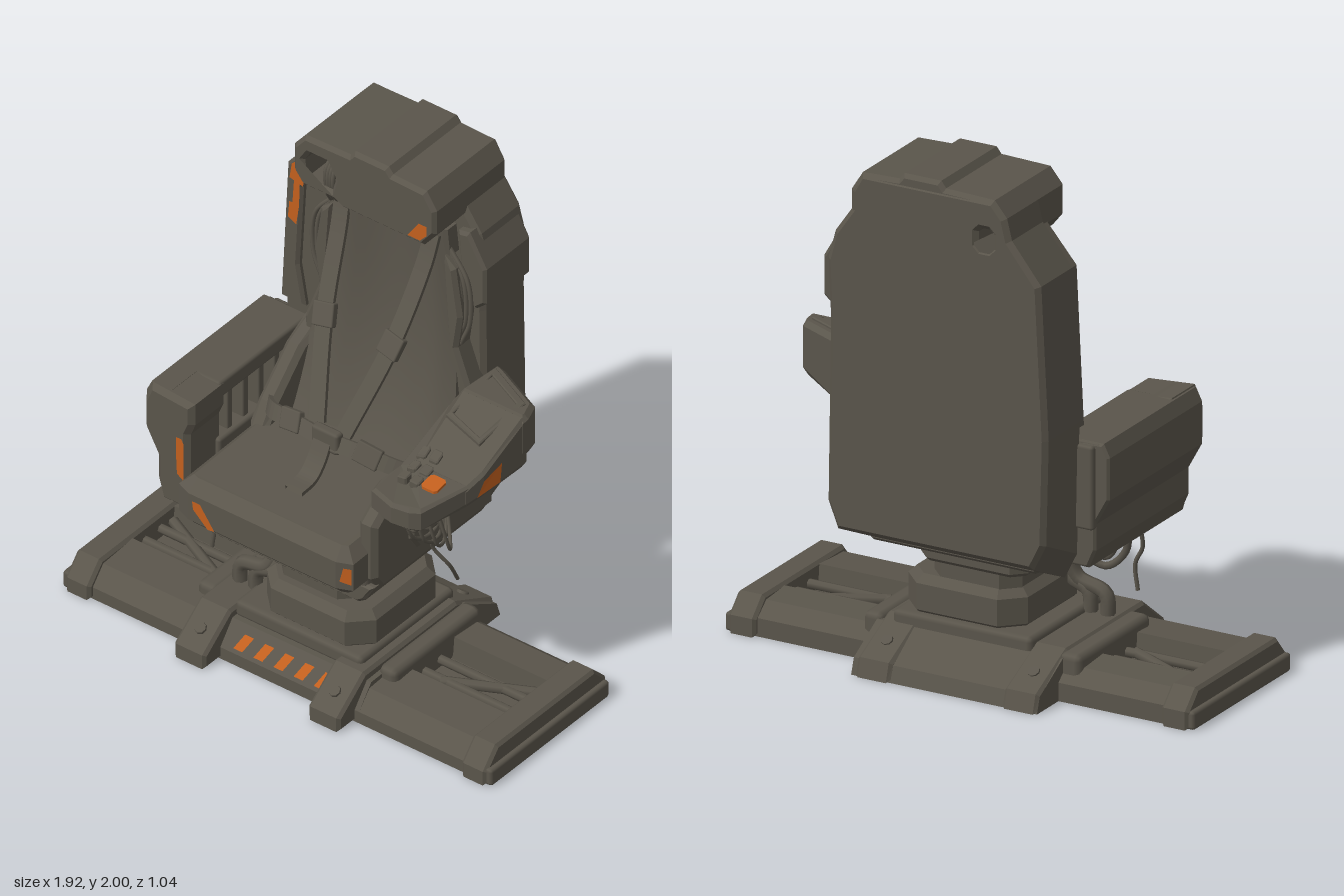
import * as THREE from 'three';
import { RoundedBoxGeometry } from 'three/addons/geometries/RoundedBoxGeometry.js';

const grey = new THREE.MeshStandardMaterial({ color: 0x5a554b, side: THREE.DoubleSide });
grey.name = 'worn grey';
const orange = new THREE.MeshStandardMaterial({ color: 0xc4601e, side: THREE.DoubleSide });
orange.name = 'hazard orange';

export function createModel() {
  const model = new THREE.Group();
  model.name = 'cockpitSeat';

  const add = (name, geo, mat = grey) => {
    const m = new THREE.Mesh(geo, mat);
    m.name = name;
    model.add(m);
    return m;
  };
  const toShape = (pts) => new THREE.Shape(pts.map((p) => new THREE.Vector2(...p)));

  // Bevelled prism along z, from z0 to z1
  const prismZ = (pts, z0, z1, b = 0.012, hole) => {
    const s = toShape(pts);
    if (hole) s.holes.push(toShape(hole));
    const g = new THREE.ExtrudeGeometry(s, {
      depth: z1 - z0 - 2 * b, bevelEnabled: b > 0, bevelThickness: b, bevelSize: b, bevelOffset: -b, bevelSegments: 1,
    });
    return g.translate(0, 0, z0 + b);
  };
  // Outline given as [z, y], extruded along x
  const prismX = (pts, x0, x1, b) => prismZ(pts, 0, x1 - x0, b).rotateY(-Math.PI / 2).translate(x1, 0, 0);
  // Outline given as [x, z], extruded along y
  const prismY = (pts, y0, y1, b, hole) => prismZ(pts, 0, y1 - y0, b, hole).rotateX(Math.PI / 2).translate(0, y1, 0);
  const box = (name, x0, x1, y0, y1, z0, z1, r = 0.012) =>
    add(name, new RoundedBoxGeometry(x1 - x0, y1 - y0, z1 - z0, 1, r)
      .translate((x0 + x1) / 2, (y0 + y1) / 2, (z0 + z1) / 2));
  // Rectangle with cut corners
  const cut = (a0, a1, b0, b1, c) => [[a0 + c, b0], [a1 - c, b0], [a1, b0 + c], [a1, b1 - c],
    [a1 - c, b1], [a0 + c, b1], [a0, b1 - c], [a0, b0 + c]];
  const warp = (g, rule) => {
    const p = g.attributes.position, v = new THREE.Vector3();
    for (let i = 0; i < p.count; i++) {
      v.fromBufferAttribute(p, i);
      rule(v);
      p.setXYZ(i, v.x, v.y, v.z);
    }
    g.computeVertexNormals();
    return g;
  };
  const faces = (verts, index) => {
    const g = new THREE.BufferGeometry();
    g.setAttribute('position', new THREE.Float32BufferAttribute(verts.flat(), 3));
    g.setIndex(index);
    const flat = g.toNonIndexed();
    flat.computeVertexNormals();
    return flat;
  };
  // Painted flat patch, corners counter-clockwise
  const patch = (name, pts) => add(name, faces(pts, pts.slice(2).flatMap((_, i) => [0, i + 1, i + 2])), orange);
  const patchZ = (name, z, pts) => patch(name, pts.map(([x, y]) => [x, y, z]));
  const curve = (pts) => new THREE.CatmullRomCurve3(pts.map((p) => new THREE.Vector3(...p)));
  const cable = (name, pts, r) => add(name, new THREE.TubeGeometry(curve(pts), 24, r, 7));
  // Webbing with a rectangular section that follows a curve
  const strap = (name, pts, width) => {
    const c = curve(pts), verts = [], idx = [], n = 16;
    for (let i = 0; i <= n; i++) {
      const p = c.getPoint(i / n), t = c.getTangent(i / n);
      const side = t.clone().cross(new THREE.Vector3(0, 0.5, 1)).normalize();
      const up = side.clone().cross(t);
      for (const [a, b] of [[-1, -1], [1, -1], [1, 1], [-1, 1]]) {
        verts.push(p.clone().addScaledVector(side, a * width / 2).addScaledVector(up, b * 0.008).toArray());
      }
      for (let k = 0; i < n && k < 4; k++) {
        const q = 4 * i + k, r = 4 * i + (k + 1) % 4;
        idx.push(q, r, q + 4, r, r + 4, q + 4);
      }
    }
    add(name, faces(verts, idx));
  };

  // Base: centre plate, side rails, brackets and end caps
  add('basePlate', prismX([[0.43, 0], [0.43, 0.05], [0.36, 0.14], [-0.2, 0.15], [-0.36, 0.06], [-0.38, 0]], -0.4, 0.36, 0));
  for (let i = 0; i < 5; i++) {
    const x = -0.208 + i * 0.09;
    patch('hazardStripe', [[x, 0.065, 0.423], [x + 0.04, 0.065, 0.423], [x + 0.064, 0.114, 0.385], [x + 0.024, 0.114, 0.385]]);
  }
  const bracketSide = [[0.52, 0], [0.52, 0.06], [0.37, 0.175], [-0.16, 0.175], [-0.37, 0.07], [-0.39, 0]];
  for (const x of [-0.4, 0.2]) {
    add('baseBracket', prismX(bracketSide, x, x + 0.14));
    for (const z of [0.45, -0.28]) {
      const bolt = add('bracketBolt', new THREE.CylinderGeometry(0.022, 0.025, 0.02, 8));
      bolt.position.set(x + 0.07, 0.112, z);
      bolt.rotation.x = Math.sign(z) * 0.6;
    }
  }
  for (const s of [-1, 1]) {
    const lo = s < 0 ? -0.85 : 0.34, hi = s < 0 ? -0.38 : 0.85;
    box('railFloor', lo, hi, 0, 0.04, -0.22, 0.42, 0.004);
    add('frontRail', prismX([[0.43, 0], [0.43, 0.05], [0.37, 0.12], [0.2, 0.13], [0.19, 0.03]], lo, hi, 0));
    add('backRail', prismX([[-0.23, 0], [-0.23, 0.07], [-0.17, 0.12], [-0.04, 0.13], [-0.03, 0.03]], lo, hi, 0));
    for (const z of [0.04, 0.13]) cable('railRod', [[lo, 0.08, z], [hi, 0.08, z]], 0.018);
    cable('railBrace', [[s * 0.82, 0.08, -0.02], [s * 0.5, 0.08, 0.14]], 0.02);
    add('railEndCap', prismX([[0.45, 0], [0.45, 0.06], [0.38, 0.14], [-0.18, 0.14], [-0.25, 0.07], [-0.25, 0]],
      s < 0 ? -0.94 : 0.83, s < 0 ? -0.83 : 0.94));
    box('endBumper', s < 0 ? -0.96 : 0.9, s < 0 ? -0.9 : 0.96, 0, 0.07, -0.24, 0.44);
    box('railBlock', s < 0 ? -0.47 : 0.34, s < 0 ? -0.38 : 0.42, 0.03, 0.17, -0.2, 0.3, 0.025);
  }

  // Pedestal and swivel
  box('pedestalFoot', -0.27, 0.3, 0.13, 0.2, -0.2, 0.34, 0.02);
  add('pedestal', prismY(cut(-0.2, 0.29, -0.18, 0.32, 0.08), 0.18, 0.34, 0.03));
  add('swivelNeck', prismY(cut(-0.17, 0.19, -0.15, 0.26, 0.06), 0.3, 0.43, 0.01));
  add('swivelCollar', prismY(cut(-0.22, 0.22, -0.18, 0.28, 0.05), 0.4, 0.5, 0.015));
  box('collarLatch', -0.06, 0.06, 0.41, 0.46, 0.26, 0.3);

  // Seat pan and cushion
  add('seatSkirt', prismZ([[-0.4, 0.58], [-0.38, 0.51], [-0.34, 0.49], [0.32, 0.49], [0.35, 0.51], [0.39, 0.58]], -0.3, 0.39));
  add('skirtKeel', prismZ([[-0.34, 0.5], [-0.28, 0.46], [0.28, 0.46], [0.32, 0.5]], -0.16, 0.3));
  box('seatPan', -0.43, 0.36, 0.56, 0.72, -0.3, 0.39, 0.02);
  add('seatCushion', warp(prismY([[-0.41, -0.2], [-0.41, 0.475], [-0.35, 0.5], [0.31, 0.5], [0.37, 0.475], [0.37, -0.2]],
    0.57, 0.79, 0.045), (v) => { if (v.y > 0.7 && v.z > 0.35) v.y -= 0.015; }));
  patchZ('cushionMarkLeft', 0.503, [[-0.26, 0.61], [-0.23, 0.615], [-0.295, 0.705], [-0.33, 0.705], [-0.325, 0.67]]);
  patch('cushionMarkRight', [[0.325, 0.65, 0.498], [0.366, 0.64, 0.481], [0.366, 0.71, 0.481], [0.338, 0.71, 0.493]]);
  add('seatSide', prismX([[0.39, 0.62], [0.35, 0.56], [-0.3, 0.56], [-0.3, 0.96], [0.3, 0.92], [0.39, 0.85]], 0.32, 0.4, 0.02));
  add('seatSidePanel', prismX([[0.2, 0.7], [0.16, 0.64], [-0.22, 0.64], [-0.24, 0.88], [0.2, 0.88]], 0.39, 0.42));

  // Back shell with the lower rear edge cut away
  const portHole = cut(-0.295, -0.235, 1.78, 1.855, 0.015);
  add('backShell', warp(prismZ([[-0.46, 0.5], [-0.51, 0.6], [-0.52, 1.1], [-0.49, 1.68], [-0.37, 1.83], [-0.35, 1.91], [-0.3, 1.97],
    [0.24, 1.97], [0.28, 1.9], [0.28, 1.83], [0.35, 1.73], [0.38, 1.62], [0.37, 1.4], [0.38, 0.6], [0.34, 0.5]],
  -0.52, -0.27, 0.018, portHole), (v) => { if (v.z < -0.45 && v.y < 0.65) v.y += 0.1; }));
  // Head block with a broken-open corner
  add('headBlock', prismZ([[-0.35, 1.8], [-0.35, 1.91], [-0.3, 1.97], [-0.1, 1.975], [-0.08, 2], [0.07, 2], [0.09, 1.975],
    [0.24, 1.97], [0.285, 1.9], [0.285, 1.8], [0.23, 1.73], [-0.13, 1.73], [-0.17, 1.75], [-0.31, 1.75]],
  -0.515, -0.1, 0.015, [[-0.295, 1.785], [-0.18, 1.785], [-0.165, 1.84], [-0.2, 1.9], [-0.28, 1.9], [-0.305, 1.86]]));
  patchZ('headMark', -0.098, [[0.165, 1.752], [0.22, 1.752], [0.25, 1.785], [0.25, 1.825], [0.215, 1.825]]);
  add('shoulderPod', prismZ([[0.28, 1.74], [0.33, 1.75], [0.405, 1.62], [0.405, 1.47], [0.36, 1.43], [0.3, 1.46]], -0.5, -0.235));
  add('shoulderFrame', prismZ([[-0.52, 1.08], [-0.49, 1.68], [-0.37, 1.82], [-0.33, 1.76], [-0.42, 1.6], [-0.44, 1.25], [-0.41, 1.08]], -0.3, -0.245));
  patchZ('shoulderMarkUpper', -0.243, [[-0.475, 1.625], [-0.415, 1.61], [-0.405, 1.67], [-0.355, 1.755], [-0.385, 1.765], [-0.465, 1.69]]);
  patchZ('shoulderMarkMiddle', -0.243, [[-0.462, 1.52], [-0.432, 1.52], [-0.43, 1.62], [-0.455, 1.62]]);
  patchZ('shoulderMarkLower', -0.243, [[-0.482, 1.45], [-0.445, 1.43], [-0.432, 1.52], [-0.476, 1.52]]);

  // Padded backrest: widens and comes forward towards the seat
  add('backCushion', warp(new THREE.BoxGeometry(2, 1, 1, 16, 14, 1), (v) => {
    const t = v.y + 0.5, u = v.x, front = v.z > 0;
    v.x *= 0.36 - 0.11 * t;
    v.y = 0.74 + 1.0 * t;
    v.z = front ? -0.22 + 0.16 * (1 - t) ** 3 + 0.035 * Math.sin(Math.PI * Math.min(1, u * u)) : -0.3;
  }));
  for (const s of [-1, 1]) {
    add('backBolster', prismZ([[s * 0.25, 1.64], [s * 0.3, 1.6], [s * 0.33, 1.4], [s * 0.31, 1.26], [s * 0.37, 1.1], [s * 0.38, 0.8],
      [s * 0.32, 0.8], [s * 0.27, 1.25]], -0.3, -0.19, 0.015));
    add('lumbarWing', prismX([[-0.28, 0.74], [-0.28, 1.1], [-0.12, 1.02], [0.04, 0.86], [0.1, 0.76]], s < 0 ? -0.4 : 0.3, s < 0 ? -0.32 : 0.37, 0.02));
    for (let i = 0; i < 3; i++) {
      const x = 0.3 + i * 0.02;
      cable('backCable', [[s * 0.25, 1.66, -0.23], [s * x, 1.55, -0.22], [s * (x + 0.01), 1.38, -0.22], [s * (x - 0.03), 1.27, -0.22]], 0.009);
    }
  }
  for (let i = 0; i < 4; i++) {
    const d = i * 0.012;
    cable('headCable', [[-0.17 - d, 1.92, -0.16], [-0.18 - d, 1.85, -0.12], [-0.185 - d, 1.76, -0.13], [-0.2 - 2 * d, 1.64, -0.22]], 0.009);
  }

  // Harness
  for (const s of [-1, 1]) {
    strap('shoulderStrap', [[s * 0.2, 1.72, -0.2], [s * 0.19, 1.6, -0.165], [s * 0.15, 1.3, -0.03], [s * 0.06, 0.96, 0.13]], 0.065);
    const buckle = box('strapAdjuster', -0.045, 0.045, -0.045, 0.045, -0.016, 0.016, 0.006);
    buckle.position.set(s * 0.15, 1.3, -0.028);
    buckle.rotation.set(-0.43, 0, -s * 0.2);
    strap('lapBelt', [[s * 0.38, 0.83, 0], [s * 0.28, 0.89, 0.1], [s * 0.14, 0.92, 0.14], [0, 0.92, 0.155]], 0.06);
    const tab = box('lapBeltTab', -0.05, 0.05, -0.04, 0.04, -0.014, 0.014, 0.006);
    tab.position.set(s * 0.17, 0.92, 0.135);
    tab.rotation.set(-0.4, s * 0.25, -s * 0.15);
  }
  box('harnessBuckle', -0.06, 0.06, 0.88, 0.97, 0.13, 0.17);
  strap('crotchStrap', [[-0.01, 0.92, 0.16], [-0.01, 0.85, 0.2], [-0.01, 0.805, 0.25], [-0.01, 0.795, 0.33]], 0.075);

  // Right armrest: outer body, front post, top cap and slatted inner side
  add('rightArmOuter', prismZ([[-0.61, 1.03], [-0.635, 0.98], [-0.635, 0.82], [-0.58, 0.72], [-0.58, 0.62], [-0.55, 0.55], [-0.52, 0.55], [-0.52, 1.03]], -0.28, 0.38, 0.01));
  add('rightArmFront', prismZ([[-0.6, 1.035], [-0.63, 0.96], [-0.63, 0.84], [-0.57, 0.74], [-0.57, 0.62], [-0.55, 0.55], [-0.43, 0.55],
    [-0.43, 0.88], [-0.41, 0.93], [-0.41, 1.02]], 0.2, 0.4, 0.02));
  box('rightArmLower', -0.55, -0.41, 0.55, 0.78, -0.28, 0.24);
  box('rightArmBack', -0.58, -0.41, 0.7, 1.02, -0.3, -0.2);
  box('rightArmTop', -0.6, -0.41, 0.96, 1.03, -0.28, 0.24);
  for (let i = 0; i < 4; i++) box('rightArmSlat', -0.49, -0.43, 0.75, 0.98, -0.13 + i * 0.09, -0.1 + i * 0.09, 0.006);
  patchZ('rightArmMark', 0.403, [[-0.475, 0.7], [-0.445, 0.68], [-0.445, 0.84], [-0.455, 0.86], [-0.48, 0.86], [-0.48, 0.8]]);

  // Left armrest console: falls to the front and inner side, levels out at the nose, outer underside cut up
  const clamp = THREE.MathUtils.clamp;
  const slope = (g) => warp(g, (v) => {
    if (v.y > 1.05) {
      v.y -= 0.6 * clamp(v.z + 0.08, 0, 0.28) + 0.15 * Math.max(0, v.z - 0.2);
      v.y -= 1.5 * Math.max(0, 0.43 - v.x) * clamp(0.8 - 2.2 * v.z, 0, 1);
    } else v.y += 0.9 * Math.max(0, v.x - 0.61);
  });
  add('consoleRear', slope(prismY([[0.43, -0.28], [0.47, -0.27], [0.68, -0.17], [0.705, -0.1], [0.703, -0.07], [0.43, -0.07], [0.36, -0.07]], 0.95, 1.205, 0.018)));
  add('consoleMiddle', slope(prismY([[0.36, -0.09], [0.43, -0.09], [0.703, -0.09], [0.685, 0.13], [0.66, 0.2], [0.43, 0.2], [0.35, 0.2]], 0.91, 1.2, 0.012)));
  add('consoleNose', slope(prismY([[0.35, 0.18], [0.43, 0.18], [0.665, 0.18], [0.59, 0.37], [0.55, 0.39], [0.48, 0.4], [0.37, 0.37], [0.35, 0.3]], 0.91, 1.2, 0.012)));
  add('consoleScreenRim', slope(prismY([[0.45, -0.24], [0.66, -0.14], [0.61, 0.06], [0.43, 0.02]], 1.19, 1.215, 0.004,
    [[0.465, -0.2], [0.635, -0.12], [0.595, 0.04], [0.45, 0.005]])));
  for (let i = 0; i < 6; i++) {
    const x = 0.41 + (i % 2) * 0.055, z = 0.13 + Math.floor(i / 2) * 0.055;
    add('consoleKey', slope(prismY(cut(x, x + 0.042, z, z + 0.04, 0.006), 1.18, 1.213, 0.004)));
  }
  add('consoleOrangeKey', slope(prismY(cut(0.515, 0.585, 0.21, 0.28, 0.01), 1.18, 1.213, 0)), orange);
  patch('consoleSideMark', [[0.682, 0.985, 0.165], [0.696, 0.995, 0.05], [0.697, 1.075, 0.042], [0.69, 1.045, 0.135]]);
  box('consoleMount', 0.36, 0.54, 0.86, 0.95, -0.2, 0.34);
  box('consoleHinge', 0.35, 0.46, 0.72, 0.92, -0.24, 0.16, 0.02);

  // Loose cables
  cable('armWireLong', [[0.54, 0.92, 0.24], [0.55, 0.8, 0.2], [0.49, 0.7, 0.18], [0.53, 0.6, 0.13], [0.52, 0.5, 0.07]], 0.007);
  for (let i = 0; i < 4; i++) {
    cable('armWire', [[0.46 + i * 0.03, 0.92, 0.32 - i * 0.03], [0.48 + i * 0.03, 0.78 - i * 0.02, 0.27 - i * 0.03],
      [0.45 + i * 0.02, 0.72 - i * 0.01, 0.1], [0.42, 0.88, 0.02]], 0.007);
  }
  cable('hangingCable', [[-0.47, 0.57, 0.2], [-0.48, 0.45, 0.22], [-0.45, 0.38, 0.22], [-0.46, 0.28, 0.22]], 0.008);
  for (let i = 0; i < 2; i++) {
    const d = i * 0.035;
    cable('loopCable', [[-0.46 + d, 0.57, 0.15], [-0.44 + d, 0.44 + d, 0.17], [-0.36, 0.37 + d, 0.17], [-0.27, 0.42 + d, 0.14], [-0.2, 0.48, 0.1]], 0.014);
    cable('pedestalHose', [[-0.35 + 2 * d, 0.14, 0.2], [-0.34 + 2 * d, 0.25, 0.2], [-0.23 + d, 0.29, 0.2], [-0.19 + d, 0.38, 0.18], [-0.15, 0.46, 0.15]], 0.028);
  }
  return model;
}
